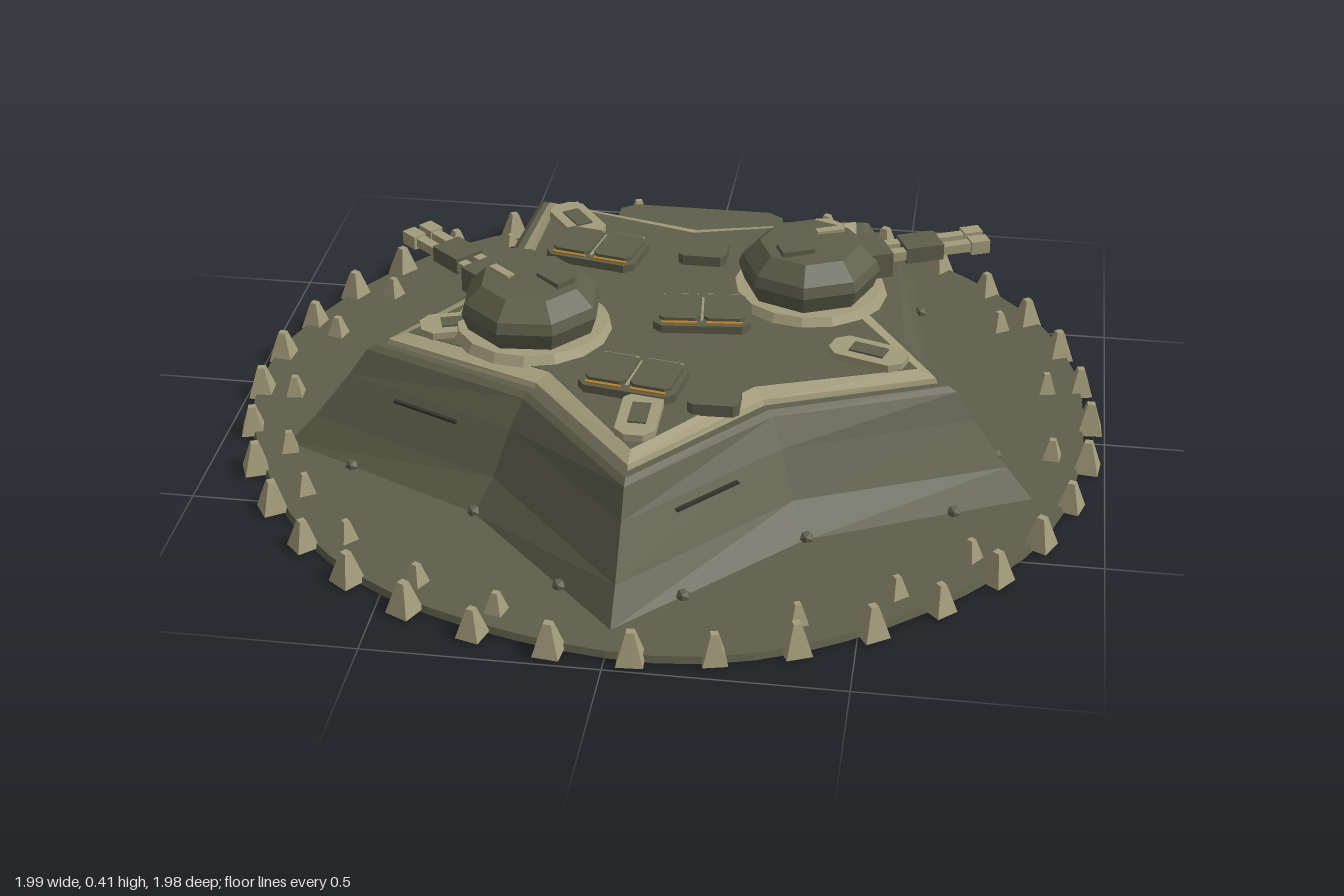
import * as THREE from 'three';

const mat = (name, color) => new THREE.MeshStandardMaterial({ name, color, flatShading: true });

// Flat-faced skin through closed rings (each a list of Vector3, bottom to top)
function loft(rings, bottom = true, top = true) {
  const pos = [];
  const tri = (...v) => v.forEach(p => pos.push(p.x, p.y, p.z));
  const n = rings[0].length;
  for (let i = 0; i < n; i++) {
    const j = (i + 1) % n;
    for (let k = 0; k < rings.length - 1; k++) {
      const a = rings[k], b = rings[k + 1];
      tri(a[i], a[j], b[j]);
      tri(a[i], b[j], b[i]);
    }
    const lo = rings[0], hi = rings[rings.length - 1];
    if (bottom) tri(new THREE.Vector3(0, lo[0].y, 0), lo[j], lo[i]);
    if (top) tri(new THREE.Vector3(0, hi[0].y, 0), hi[i], hi[j]);
  }
  const g = new THREE.BufferGeometry();
  g.setAttribute('position', new THREE.Float32BufferAttribute(pos, 3));
  g.computeVertexNormals();
  return g;
}

const polar = (a, r, y) => new THREE.Vector3(Math.sin(a) * r, y, Math.cos(a) * r);
// Five-pointed star ring: tip radius, notch radius, height
const star = (ro, ri, y) => Array.from({ length: 10 }, (_, i) => polar(i * Math.PI / 5, i % 2 ? ri : ro, y));
const rimRadius = a => 0.97 + 0.012 * Math.sin(3 * a + 0.6) - 0.016 * Math.cos(a) + 0.008 * Math.sin(7 * a);
const rim = (y, s) => Array.from({ length: 60 }, (_, i) => {
  const a = i * Math.PI / 30;
  return polar(a, rimRadius(a) * s, y);
});

// Rounded rectangular plate lying flat, optionally with a hole
function roundedPlate(w, d, h, r, hole) {
  const s = new THREE.Shape(), x = w / 2, y = d / 2;
  [[x - r, -y], [x, -y + r], [x, y - r], [x - r, y], [-x + r, y], [-x, y - r], [-x, -y + r], [-x + r, -y]]
    .forEach((p, i) => (i ? s.lineTo(...p) : s.moveTo(...p)));
  if (hole) {
    const [a, b] = hole;
    s.holes.push(new THREE.Path([[-a, -b], [-a, b], [a, b], [a, -b]].map(p => new THREE.Vector2(...p))));
  }
  return new THREE.ExtrudeGeometry(s, { depth: h, bevelEnabled: false }).rotateX(-Math.PI / 2);
}

export function createModel() {
  const olive = mat('olive', 0x5d5e4a), tan = mat('tan', 0xa39b7b);
  const gold = mat('gold', 0xb5852f), dark = mat('dark', 0x36352b);
  const model = new THREE.Group();
  model.name = 'starBunker';

  const add = (parent, name, geo, material, x = 0, y = 0, z = 0, ry = 0) => {
    const m = new THREE.Mesh(geo, material);
    m.name = name;
    m.position.set(x, y, z);
    m.rotation.y = ry;
    parent.add(m);
    return m;
  };
  const box = (parent, name, w, h, d, material, x, y, z, ry) =>
    add(parent, name, new THREE.BoxGeometry(w, h, d), material, x, y, z, ry);
  const group = (name, x, y, z, ry) => {
    const g = new THREE.Group();
    g.name = name;
    g.position.set(x, y, z);
    g.rotation.y = ry;
    model.add(g);
    return g;
  };

  // Ground disc, star walls, trim and deck
  add(model, 'groundDisc', loft([rim(0, 1), rim(0.015, 0.995)]), olive);
  add(model, 'starWalls', loft([
    star(0.885, 0.62, 0.014), star(0.82, 0.56, 0.08), star(0.738, 0.505, 0.18),
    star(0.695, 0.465, 0.24), star(0.675, 0.45, 0.25)], false), olive);
  add(model, 'deckTrim', loft([star(0.65, 0.43, 0.249), star(0.645, 0.425, 0.262), star(0.6, 0.385, 0.274)], false, false), tan);
  add(model, 'deck', loft([star(0.602, 0.387, 0.26), star(0.6, 0.385, 0.275)], false), olive);

  // Bolts along the wall foot and one slot on each clockwise wall
  const foot = star(0.89, 0.62, 0.02), mid = star(0.757, 0.518, 0.16);
  const bolt = new THREE.IcosahedronGeometry(0.016, 0);
  for (let i = 0; i < 10; i++) {
    const p = foot[i].clone().lerp(foot[(i + 1) % 10], i % 2 ? 0.64 : 0.36);
    add(model, 'wallBolt', bolt, olive, p.x, p.y, p.z);
    if (i % 2) add(model, 'notchBolt', bolt, olive, foot[i].x, foot[i].y, foot[i].z);
    else {
      const a = mid[i], b = mid[i + 1], c = a.clone().lerp(b, 0.52);
      const ry = -Math.atan2(b.z - a.z, b.x - a.x);
      box(model, 'wallSlot', 0.17, 0.006, 0.012, dark, c.x, c.y, c.z, ry);
    }
  }

  // Spikes: an outer ring with a gap at the ramp, and scattered inner ones
  const spike = new THREE.CylinderGeometry(0.012, 0.04, 0.072, 4).rotateY(Math.PI / 4);
  const addSpike = (deg, r, s) => {
    const a = Math.PI - deg * Math.PI / 180;
    const p = polar(a, r, 0.004 + 0.036 * s);
    add(model, 'spike', spike, tan, p.x, p.y, p.z, a).scale.setScalar(s);
  };
  for (let i = 0; i < 34; i++) addSpike(16.8 + i * 10, 0.966, i % 3 ? 1 : 0.92);
  [16, 29, 57, 77, 96, 126, 140, 155, 196, 209, 224, 238, 250, 266, 285, 300, 324, 335]
    .forEach(d => addSpike(d, 0.885, 0.8));

  // Framed vents near the five star tips
  const frame = roundedPlate(0.088, 0.175, 0.018, 0.024, [0.02, 0.04]);
  for (let i = 0; i < 5; i++) {
    const a = i * Math.PI * 2 / 5, p = polar(a, 0.485, 0.273);
    const g = group('tipVent', p.x, p.y, p.z, a);
    add(g, 'ventFrame', frame, tan);
    box(g, 'ventCore', 0.04, 0.02, 0.08, olive, 0, 0.012, 0);
  }

  // Double hatches with gold front edges
  const hatchBase = roundedPlate(0.22, 0.15, 0.02, 0.02);
  const hatchLeaf = roundedPlate(0.093, 0.115, 0.008, 0.012);
  [[-0.21, -0.25, -0.2], [0.075, 0.025, 0.1], [-0.035, 0.33, -0.17]].forEach(([x, z, ry]) => {
    const g = group('deckHatch', x, 0.274, z, ry);
    add(g, 'hatchBase', hatchBase, olive);
    for (const s of [-1, 1]) {
      add(g, 'hatchLeaf', hatchLeaf, olive, s * 0.051, 0.02, -0.005);
      box(g, 'hatchStripe', 0.08, 0.004, 0.008, gold, s * 0.051, 0.022, 0.062);
      box(g, 'hatchRim', 0.08, 0.004, 0.005, tan, s * 0.051, 0.022, -0.068);
    }
    box(g, 'hatchSeam', 0.005, 0.004, 0.11, tan, 0, 0.022, 0);
  });

  // Plain deck boxes
  const crate = roundedPlate(0.112, 0.09, 0.028, 0.012);
  [[-0.405, -0.155, 0], [0.04, -0.265, 0], [0.15, 0.4, 0.03]]
    .forEach(([x, z, ry]) => add(model, 'deckBox', crate, olive, x, 0.272, z, ry));

  // Gun turrets, built facing +x
  const shell = new THREE.LatheGeometry(
    [[0.146, 0], [0.163, 0.05], [0.155, 0.075], [0.115, 0.113], [0, 0.118]].map(p => new THREE.Vector2(...p)), 8)
    .toNonIndexed();
  shell.computeVertexNormals();
  [[0.30, -0.14, Math.atan2(31, 72)], [-0.30, 0.12, Math.atan2(51, -60)]].forEach(([x, z, ry]) => {
    const g = group('turret', x, 0.274, z, ry);
    add(g, 'turretRing', new THREE.CylinderGeometry(0.17, 0.182, 0.022, 16), tan, 0, 0.01, 0);
    add(g, 'turretShell', shell, olive, 0, 0.012, 0, Math.PI / 8);
    box(g, 'mantlet', 0.07, 0.06, 0.11, olive, 0.15, 0.068, 0);
    box(g, 'gunSleeve', 0.09, 0.038, 0.075, olive, 0.27, 0.075, 0);
    for (const s of [-1, 1]) {
      box(g, 'barrel', 0.28, 0.022, 0.024, tan, 0.28, 0.075, s * 0.022);
      box(g, 'muzzle', 0.045, 0.032, 0.034, tan, 0.405, 0.075, s * 0.024);
    }
    box(g, 'roofHatch', 0.075, 0.016, 0.05, olive, -0.045, 0.13, 0.035);
    box(g, 'roofSight', 0.065, 0.008, 0.02, tan, 0.06, 0.13, -0.035);
  });

  // Rear ramp: side profiles run from the wall outwards, extruded across x
  const across = (pts, width) => new THREE.ExtrudeGeometry(
    new THREE.Shape(pts.map(p => new THREE.Vector2(...p))), { depth: width, bevelEnabled: false })
    .translate(0, 0, -width / 2).rotateY(Math.PI / 2);
  const rail = across([[0.5, 0], [0.92, 0], [0.92, 0.035], [0.86, 0.058], [0.61, 0.145], [0.55, 0.15], [0.5, 0.15]], 0.055);
  add(model, 'rampFloor', across([[0.5, 0], [0.9, 0], [0.9, 0.02], [0.56, 0.085], [0.5, 0.085]], 0.3), olive);
  for (const s of [-1, 1]) {
    add(model, 'rampRail', rail, tan, s * 0.168);
    const line = box(model, 'railStripe', 0.008, 0.012, 0.32, gold, s * 0.137, 0.085, -0.74);
    line.rotation.x = -0.3;
  }
  [[-0.8, 0.041], [-0.7, 0.06], [-0.61, 0.077]].forEach(([z, y]) =>
    box(model, 'rampTread', 0.19, 0.006, 0.012, tan, 0, y, z));

  // Doorway and overhanging ledge above the ramp
  box(model, 'doorway', 0.28, 0.16, 0.1, olive, 0, 0.16, -0.5);
  const ledge = new THREE.Shape([[-0.2, 0.4], [0.2, 0.4], [0.2, 0.53], [0.165, 0.555], [-0.165, 0.555], [-0.2, 0.53]]
    .map(p => new THREE.Vector2(...p)));
  add(model, 'ledge', new THREE.ExtrudeGeometry(ledge, { depth: 0.025, bevelEnabled: false }).rotateX(-Math.PI / 2), olive, 0, 0.23, 0);
  box(model, 'ledgeStripe', 0.17, 0.01, 0.008, gold, 0, 0.242, -0.557);

  return model;
}
